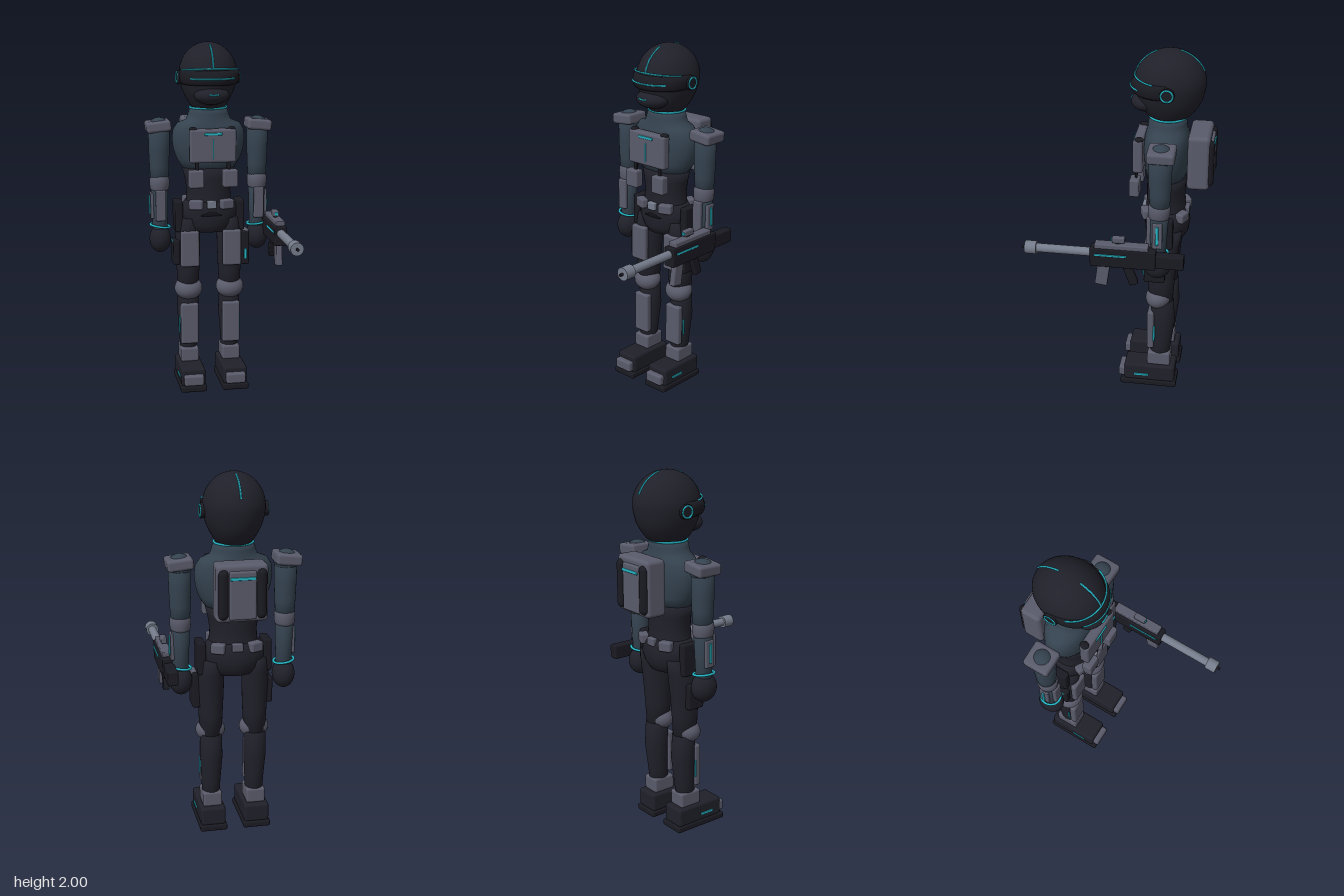
import * as THREE from 'three';
import { RoundedBoxGeometry } from 'three/addons/geometries/RoundedBoxGeometry.js';

const mat = (name, color) => Object.assign(new THREE.MeshStandardMaterial({ color }), { name });

export function createModel() {
  const dark = mat('dark undersuit', 0x20202a);
  const black = mat('black hardware', 0x1a1a22);
  const blue = mat('blue grey cloth', 0x34424f);
  const grey = mat('grey armour', 0x5a5b6b);
  const metal = mat('light metal', 0x747b8a);
  const teal = mat('teal glow', 0x24b6c6);

  const root = new THREE.Group();
  root.name = 'armouredSoldier';
  const group = (name, x = 0, parent = root) => {
    const g = new THREE.Group();
    g.name = name;
    g.position.x = x;
    parent.add(g);
    return g;
  };
  const add = (parent, name, geo, material, x = 0, y = 0, z = 0) => {
    const m = new THREE.Mesh(geo, material);
    m.name = name;
    m.position.set(x, y, z);
    parent.add(m);
    return m;
  };
  const box = (parent, name, material, x, y, z, w, h, d, r = 0.01) =>
    add(parent, name, new RoundedBoxGeometry(w, h, d, 2, Math.min(r, w / 2.1, h / 2.1, d / 2.1)), material, x, y, z);
  const ball = (parent, name, material, x, y, z, rx, ry, rz) => {
    const m = add(parent, name, new THREE.SphereGeometry(1, 28, 18), material, x, y, z);
    m.scale.set(rx, ry, rz);
    return m;
  };

  // Closed smooth body from elliptical rings [y, rx, rz, centreZ, centreX], bottom to top
  const loft = (parent, name, material, rings, n = 32) => {
    const pos = [], idx = [];
    for (const [y, rx, rz, cz, cx = 0] of rings)
      for (let i = 0; i < n; i++) {
        const a = (i / n) * Math.PI * 2;
        pos.push(cx + rx * Math.sin(a), y, cz + rz * Math.cos(a));
      }
    for (let j = 0; j < rings.length - 1; j++)
      for (let i = 0; i < n; i++) {
        const a = j * n + i, b = j * n + ((i + 1) % n);
        idx.push(a, b, b + n, a, b + n, a + n);
      }
    const last = (rings.length - 1) * n;
    const lo = rings[0], hi = rings[rings.length - 1];
    pos.push(lo[4] || 0, lo[0], lo[3], hi[4] || 0, hi[0], hi[3]);
    for (let i = 0; i < n; i++) {
      const k = (i + 1) % n;
      idx.push(last + n, k, i, last + n + 1, last + i, last + k);
    }
    const g = new THREE.BufferGeometry();
    g.setAttribute('position', new THREE.Float32BufferAttribute(pos, 3));
    g.setIndex(idx);
    g.computeVertexNormals();
    return add(parent, name, g, material);
  };
  // Thin glowing line along a function of t in 0..1
  const line = (parent, name, fn, r = 0.005) => {
    const pts = Array.from({ length: 13 }, (_, i) => new THREE.Vector3(...fn(i / 12)));
    return add(parent, name, new THREE.TubeGeometry(new THREE.CatmullRomCurve3(pts), 32, r, 6), teal);
  };
  const ring = (parent, name, y, z, rx, rz, tube, x = 0) => {
    const m = add(parent, name, new THREE.TorusGeometry(1, tube / rx, 8, 36), teal, x, y, z);
    m.rotation.x = Math.PI / 2;
    m.scale.set(rx, rz, rx);
    return m;
  };

  const body = group('body', -0.018);

  // Helmet: fuller jaw below, ellipsoid above
  const head = group('head', 0, body);
  const skull = [[1.63, 0.09, 0.1, -0.245], [1.65, 0.105, 0.125, -0.245], [1.69, 0.128, 0.153, -0.248],
    [1.73, 0.146, 0.172, -0.25], [1.78, 0.16, 0.184, -0.25]];
  for (let i = 0; i <= 12; i++) {
    const a = (i / 12) * Math.PI / 2, c = Math.max(Math.cos(a), 0.005);
    skull.push([1.82 + 0.18 * Math.sin(a), 0.165 * c, 0.19 * c, -0.25]);
  }
  loft(head, 'helmet', dark, skull, 40);
  loft(head, 'visor', black, [[1.768, 0.155, 0.155, -0.21], [1.785, 0.165, 0.168, -0.21],
    [1.815, 0.168, 0.171, -0.21], [1.85, 0.166, 0.158, -0.215]], 40);
  ball(head, 'faceMask', dark, 0, 1.71, -0.125, 0.1, 0.052, 0.083);
  const arc = (name, y, rx, rz, cz, sweep, drop) => line(head, name, t => {
    const a = (t * 2 - 1) * sweep;
    return [rx * Math.sin(a), y - drop * (1 - Math.cos(a)), cz + rz * Math.cos(a)];
  });
  arc('browLine', 1.86, 0.168, 0.164, -0.225, 1.25, 0.015);
  arc('visorLine', 1.805, 0.168, 0.171, -0.21, 0.82, 0);
  arc('mouthLine', 1.717, 0.1, 0.083, -0.125, 0.27, -0.1);
  const crest = (name, a0, a1) => line(head, name, t => {
    const a = THREE.MathUtils.degToRad(a0 + (a1 - a0) * t);
    return [0, 1.82 + 0.18 * Math.sin(a), -0.25 + 0.19 * Math.cos(a)];
  });
  crest('frontCrest', 68, 14);
  crest('backCrest', 105, 158);
  for (const s of [-1, 1]) {
    add(head, 'earDisc', new THREE.CylinderGeometry(0.04, 0.04, 0.03, 24), black, s * 0.163, 1.803, -0.25).rotation.z = Math.PI / 2;
    add(head, 'earRing', new THREE.TorusGeometry(0.031, 0.005, 8, 28), teal, s * 0.178, 1.803, -0.25).rotation.y = Math.PI / 2;
  }

  // Torso
  loft(body, 'jacket', blue, [[1.29, 0.152, 0.11, -0.24], [1.34, 0.183, 0.117, -0.24], [1.4, 0.203, 0.123, -0.24],
    [1.46, 0.21, 0.126, -0.24], [1.51, 0.204, 0.122, -0.24], [1.545, 0.18, 0.115, -0.24],
    [1.565, 0.128, 0.108, -0.24], [1.6, 0.116, 0.104, -0.24], [1.635, 0.104, 0.1, -0.243]]);
  ring(body, 'collarRing', 1.633, -0.243, 0.104, 0.101, 0.006);
  loft(body, 'waist', dark, [[1.02, 0.155, 0.122, -0.245], [1.1, 0.132, 0.11, -0.24], [1.16, 0.127, 0.106, -0.24],
    [1.23, 0.138, 0.107, -0.24], [1.3, 0.155, 0.111, -0.24]]);
  loft(body, 'pelvis', dark, [[0.92, 0.115, 0.1, -0.245], [0.96, 0.145, 0.12, -0.248], [1.01, 0.17, 0.126, -0.25],
    [1.06, 0.168, 0.121, -0.247], [1.1, 0.135, 0.11, -0.24]]);

  // Chest plate and hanging pouches
  box(body, 'chestPlate', grey, 0, 1.432, -0.095, 0.265, 0.19, 0.055, 0.014);
  box(body, 'chestBar', teal, 0, 1.5, -0.066, 0.1, 0.015, 0.009);
  box(body, 'chestLine', teal, 0, 1.415, -0.066, 0.008, 0.11, 0.008);
  for (const s of [-1, 1]) {
    ball(body, 'strapClip', black, s * 0.11, 1.525, -0.1, 0.022, 0.014, 0.025);
    box(body, 'pouchStrap', black, s * 0.09, 1.32, -0.085, 0.022, 0.08, 0.012, 0.004);
    box(body, 'chestPouch', grey, s * 0.097, 1.248, -0.078, 0.086, 0.1, 0.055);
  }

  // Belt
  box(body, 'buckle', metal, 0, 1.088, -0.125, 0.054, 0.046, 0.03, 0.007);
  box(body, 'backBuckle', grey, 0, 1.085, -0.358, 0.06, 0.045, 0.03, 0.007);
  for (const s of [-1, 1]) {
    box(body, 'beltPouch', grey, s * 0.088, 1.087, -0.14, 0.08, 0.055, 0.05).rotation.y = s * 0.35;
    box(body, 'rearPouch', grey, s * 0.1, 1.08, -0.34, 0.075, 0.055, 0.05).rotation.y = -s * 0.45;
    box(body, 'hipGuard', black, s * 0.18, 1.01, -0.24, 0.045, 0.18, 0.12);
  }

  // Backpack
  const pack = group('backpack', 0, body);
  box(pack, 'packBody', grey, 0, 1.413, -0.42, 0.272, 0.305, 0.12, 0.022);
  box(pack, 'packPanel', grey, 0, 1.405, -0.475, 0.14, 0.255, 0.04);
  box(pack, 'packLight', teal, 0, 1.495, -0.496, 0.134, 0.016, 0.009);
  for (const s of [-1, 1])
    add(pack, 'packTank', new THREE.CapsuleGeometry(0.027, 0.21, 6, 16), black, s * 0.1, 1.41, -0.475);

  for (const s of [-1, 1]) {
    // Arm
    const arm = group(s > 0 ? 'leftArm' : 'rightArm', s * 0.285, body);
    ball(arm, 'shoulderJoint', blue, 0, 1.515, -0.24, 0.065, 0.065, 0.065);
    box(arm, 'shoulderPad', grey, s * 0.005, 1.532, -0.243, 0.14, 0.062, 0.147, 0.016).rotation.z = -s * 0.1;
    loft(arm, 'upperArm', blue, [[1.22, 0.052, 0.053, -0.238], [1.3, 0.056, 0.058, -0.238],
      [1.4, 0.06, 0.062, -0.237], [1.52, 0.061, 0.063, -0.237]], 24);
    loft(arm, 'elbowPad', grey, [[1.16, 0.046, 0.05, -0.235], [1.175, 0.055, 0.058, -0.235], [1.21, 0.058, 0.06, -0.235],
      [1.235, 0.055, 0.058, -0.235], [1.248, 0.046, 0.05, -0.235]], 24);
    loft(arm, 'forearm', blue, [[0.93, 0.042, 0.044, -0.23], [1.05, 0.047, 0.048, -0.232], [1.18, 0.05, 0.052, -0.235]], 24);
    box(arm, 'forearmPlate', grey, 0, 1.08, -0.183, 0.058, 0.18, 0.025, 0.008);
    box(arm, 'forearmGuard', grey, s * 0.046, 1.075, -0.232, 0.02, 0.15, 0.055, 0.006);
    box(arm, 'forearmLight', teal, s * 0.059, 1.08, -0.232, 0.009, 0.11, 0.016);
    ring(arm, 'wristRing', 0.955, -0.23, 0.056, 0.056, 0.007).rotation.y = s * 0.15;
    ball(arm, 'fist', dark, 0, 0.878, -0.23, 0.062, 0.08, 0.074);

    // Leg
    const leg = group(s > 0 ? 'leftLeg' : 'rightLeg', s * 0.123, body);
    loft(leg, 'thigh', dark, [[0.56, 0.06, 0.068, -0.235], [0.68, 0.066, 0.075, -0.235], [0.8, 0.071, 0.082, -0.237],
      [0.92, 0.073, 0.09, -0.243], [1.0, 0.055, 0.095, -0.25]], 28);
    box(leg, 'thighPlate', grey, 0, 0.825, -0.155, 0.108, 0.21, 0.035, 0.012);
    ball(leg, 'kneePad', grey, 0, 0.575, -0.222, 0.082, 0.066, 0.075).rotation.x = 0.35;
    loft(leg, 'calf', dark, [[0.15, 0.046, 0.054, -0.232], [0.28, 0.053, 0.06, -0.24],
      [0.42, 0.062, 0.067, -0.25], [0.56, 0.061, 0.066, -0.242]], 28);
    box(leg, 'shinPlate', grey, 0, 0.368, -0.182, 0.104, 0.245, 0.04, 0.012);
    box(leg, 'shinLight', teal, s * 0.056, 0.355, -0.204, 0.009, 0.1, 0.012);
    box(leg, 'ankleGuard', grey, 0, 0.177, -0.232, 0.106, 0.085, 0.133, 0.012);
    box(leg, 'boot', dark, 0, 0.083, -0.18, 0.14, 0.106, 0.295, 0.016);
    box(leg, 'sole', black, 0, 0.018, -0.175, 0.152, 0.036, 0.325, 0.01);
    box(leg, 'toeCap', grey, 0, 0.073, -0.022, 0.115, 0.062, 0.044, 0.012);
    box(leg, 'bootLight', teal, s * 0.071, 0.072, -0.135, 0.009, 0.014, 0.085);
  }

  // Thigh gear: holster on the left, pouch on the right
  box(body, 'holster', black, 0.203, 0.82, -0.205, 0.045, 0.2, 0.115);
  box(body, 'holsterCap', grey, 0.208, 0.9, -0.2, 0.036, 0.05, 0.085);
  box(body, 'holsterLight', teal, 0.203, 0.785, -0.147, 0.016, 0.06, 0.009);
  box(body, 'thighPouch', black, -0.196, 0.8, -0.225, 0.04, 0.145, 0.1);
  box(body, 'thighPouchLight', teal, -0.213, 0.86, -0.225, 0.009, 0.014, 0.07);

  // Rifle pointing forward
  const rifle = group('rifle', 0.33);
  box(rifle, 'receiver', black, 0, 0.945, -0.053, 0.07, 0.11, 0.355, 0.008);
  box(rifle, 'topRail', grey, 0.003, 1.01, -0.045, 0.054, 0.03, 0.29, 0.006);
  box(rifle, 'stock', black, 0, 0.938, -0.3, 0.056, 0.078, 0.16, 0.008);
  box(rifle, 'sightPost', black, 0, 1.03, -0.025, 0.018, 0.02, 0.03, 0.004);
  box(rifle, 'sight', grey, 0, 1.047, -0.028, 0.032, 0.034, 0.07, 0.007);
  box(rifle, 'sightLens', teal, 0, 1.047, 0.008, 0.02, 0.018, 0.008);
  for (const s of [-1, 1]) box(rifle, 'rifleLight', teal, s * 0.036, 0.963, 0.012, 0.009, 0.012, 0.175);
  box(rifle, 'magazine', grey, 0, 0.83, 0.06, 0.034, 0.13, 0.068, 0.007).rotation.x = -0.14;
  box(rifle, 'grip', black, 0, 0.838, -0.093, 0.034, 0.12, 0.048, 0.007).rotation.x = 0.35;
  const tube = (name, material, r, z0, z1) =>
    add(rifle, name, new THREE.CylinderGeometry(r, r, z1 - z0, 24), material, 0, 0.96, (z0 + z1) / 2).rotation.x = Math.PI / 2;
  tube('barrel', metal, 0.024, 0.11, 0.43);
  tube('muzzle', metal, 0.036, 0.42, 0.482);
  tube('muzzleTip', black, 0.008, 0.47, 0.5);

  return root;
}
